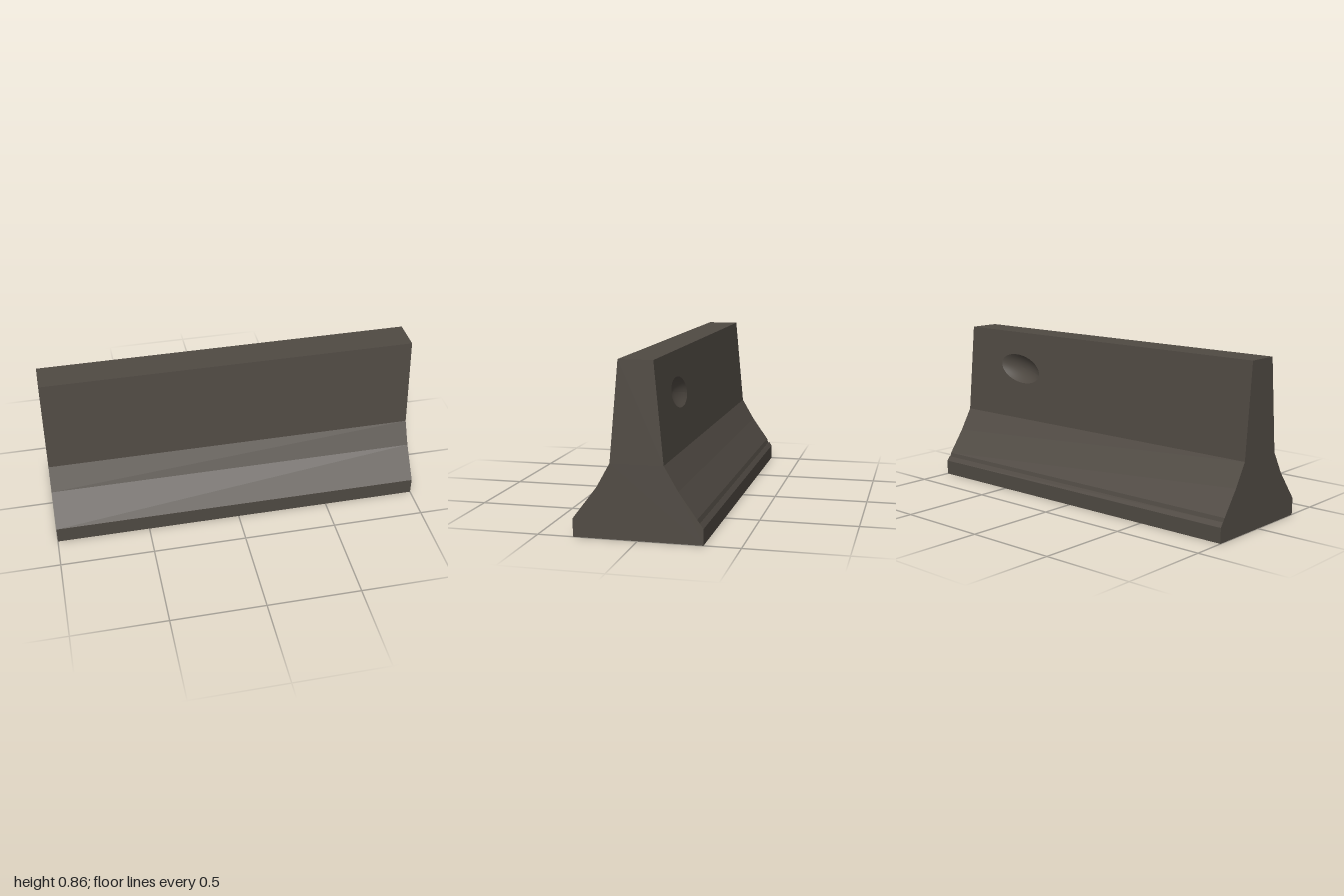
import * as THREE from 'three';

// Cross-section as [z, y], from front foot over the top to the back foot
const OUTLINE = [
  [0.32, 0], [0.322, 0.09], [0.2, 0.25], [0.133, 0.37], [0.088, 0.863],
  [-0.083, 0.863], [-0.13, 0.37], [-0.2, 0.25], [-0.32, 0.08], [-0.32, 0],
];
const GROOVE = [[-0.29, 0.1225], [-0.297, 0.098], [-0.303, 0.104]];
const BACK_PANEL = 5; // outline segment that carries the dent

export function createModel() {
  const concrete = new THREE.MeshStandardMaterial({ color: 0x504a43 });
  concrete.name = 'weathered concrete';
  const group = new THREE.Group();
  group.name = 'concreteBarrier';
  const add = (name, geometry) => {
    const mesh = new THREE.Mesh(geometry, concrete);
    mesh.name = name;
    group.add(mesh);
    return mesh;
  };

  // Long faces swept along x, with a thin groove above the back foot
  const path = [...OUTLINE.slice(0, 8), ...GROOVE, ...OUTLINE.slice(8)];
  const pos = [];
  path.forEach(([z0, y0], i) => {
    if (i === BACK_PANEL) return;
    const [z1, y1] = path[(i + 1) % path.length];
    pos.push(-1, y0, z0, 1, y0, z0, 1, y1, z1);
    pos.push(-1, y0, z0, 1, y1, z1, -1, y1, z1);
  });
  const sides = new THREE.BufferGeometry();
  sides.setAttribute('position', new THREE.Float32BufferAttribute(pos, 3));
  sides.computeVertexNormals();
  add('longFaces', sides);

  // Flat ends
  for (const s of [-1, 1]) {
    const shape = new THREE.Shape(OUTLINE.map(([z, y]) => new THREE.Vector2(-s * z, y)));
    const end = add(s > 0 ? 'leftEnd' : 'rightEnd', new THREE.ShapeGeometry(shape));
    end.rotation.y = s * Math.PI / 2;
    end.position.x = s;
  }

  // Lays a flat (u, y, inward depth) geometry onto the sloping back panel
  const [[zTop, yTop], [zLow, yLow]] = [OUTLINE[BACK_PANEL], OUTLINE[BACK_PANEL + 1]];
  const ontoBack = (geometry) => {
    const p = geometry.attributes.position;
    for (let i = 0; i < p.count; i++) {
      const t = (yTop - p.getY(i)) / (yTop - yLow);
      p.setXYZ(i, -p.getX(i), p.getY(i), zTop + (zLow - zTop) * t + p.getZ(i));
    }
    geometry.computeVertexNormals();
    return geometry;
  };

  // Tilted oval rim of the dent
  const oval = (x, y) => {
    const a = -0.16, u = x * 0.155, v = y * 0.077;
    return new THREE.Vector2(
      -0.585 + u * Math.cos(a) - v * Math.sin(a),
      0.655 + u * Math.sin(a) + v * Math.cos(a));
  };
  const panel = new THREE.Shape([[-1, yLow], [1, yLow], [1, yTop], [-1, yTop]]
    .map(([x, y]) => new THREE.Vector2(x, y)));
  const rim = [];
  for (let i = 0; i < 32; i++) {
    const a = i / 32 * Math.PI * 2;
    rim.push(oval(Math.cos(a), Math.sin(a)));
  }
  panel.holes.push(new THREE.Path(rim));
  add('backPanel', ontoBack(new THREE.ShapeGeometry(panel)));

  // Shallow chipped bowl inside the rim
  const bowl = new THREE.RingGeometry(0.001, 1, 32, 6);
  const b = bowl.attributes.position;
  for (let i = 0; i < b.count; i++) {
    const x = b.getX(i), y = b.getY(i), q = oval(x, y);
    b.setXYZ(i, q.x, q.y, 0.032 * Math.max(0, 1 - x * x - y * y));
  }
  add('dent', ontoBack(bowl));

  return group;
}
